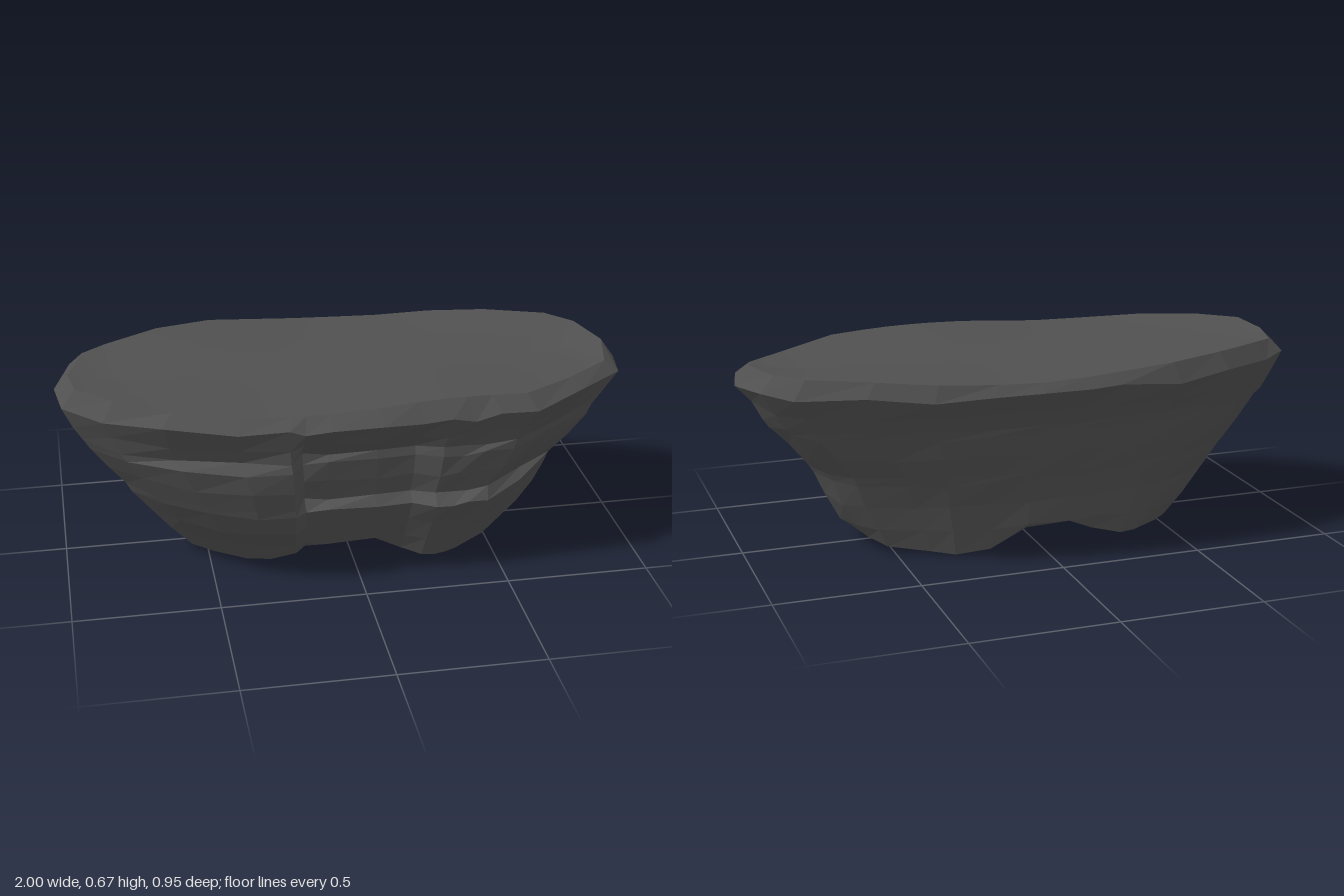
import * as THREE from 'three';

// Rim outline, clockwise from above: right end, back, left end, front
const RIM = [
  [-1, -0.04], [-0.94, -0.23], [-0.85, -0.29], [-0.65, -0.4], [-0.44, -0.465], [-0.22, -0.475],
  [-0.11, -0.479], [0.06, -0.48], [0.22, -0.465], [0.43, -0.445], [0.64, -0.385], [0.86, -0.29],
  [0.95, -0.19], [1, 0], [0.97, 0.15], [0.8, 0.29], [0.6, 0.43], [0.47, 0.44], [0.38, 0.447],
  [0.3, 0.452], [0.2, 0.46], [0.06, 0.474], [-0.11, 0.468], [-0.2, 0.46], [-0.25, 0.455],
  [-0.42, 0.44], [-0.66, 0.37], [-0.85, 0.25], [-0.98, 0.12],
];

// Side levels: height, x scale at the right and left ends, front and back z scale
const LEVELS = [
  [0.615, 1, 1, 1, 1],
  [0.54, 0.965, 0.945, 0.955, 0.9],
  [0.485, 0.935, 0.91, 0.95, 0.84],
  [0.455, 0.91, 0.89, 0.97, 0.82],
  [0.38, 0.853, 0.825, 0.955, 0.78],
  [0.305, 0.795, 0.755, 0.91, 0.73],
  [0.275, 0.775, 0.74, 0.9, 0.71],
  [0.19, 0.71, 0.705, 0.81, 0.66],
  [0.1, 0.64, 0.65, 0.71, 0.64],
  [0.01, 0.565, 0.61, 0.61, 0.61],
];

// Height of the underside along x: two feet with a channel between them
const FEET = [
  [-0.57, 0.02], [-0.42, 0.003], [-0.3, 0.02], [-0.2, 0.045], [-0.125, 0.09],
  [0.05, 0.09], [0.13, 0.03], [0.28, 0.003], [0.4, 0.018], [0.5, 0.02], [0.6, 0.06],
];

// Shared points along the middle of the underside
const STATIONS = [-0.5, -0.34, -0.19, -0.11, 0.06, 0.19, 0.34, 0.5];

function underside(x) {
  const { clamp, mapLinear } = THREE.MathUtils;
  const px = clamp(x, -0.57, 0.6);
  const k = FEET.findIndex(([fx], i) => i > 0 && px <= fx);
  const [a, b] = [FEET[k - 1], FEET[k]];
  return mapLinear(px, a[0], b[0], a[1], b[1]);
}

// Small repeatable unevenness
const wobble = (i, k) => Math.sin(i * 2.7 + k * 4.1) * 0.6 + Math.sin(i * 1.3 - k * 2.3) * 0.4;

// Carved recess and ledges on the front face, fading out below the rim
function carve(x, y) {
  const upper = y < 0.29 || y > 0.56 ? 0 : y > 0.5 ? 0.45 : 1;
  if (Math.abs(x) < 0.205) return y < 0.29 ? -0.045 : -0.085 * upper;
  if (x > 0) return y > 0.26 && y < 0.29 ? 0.01 : -0.04 * upper;
  if (y < 0.15) return -0.03;
  return x > -0.72 && x < -0.3 && y > 0.47 ? -0.035 * upper : 0;
}

function sideRing([y, right, left, front, back], k) {
  return RIM.map(([x, z], i) => {
    // Taper the ends strongly while the middle stays upright
    const sx = x < 0 ? right : left;
    const px = x * (1 - (1 - sx) * Math.min(1, Math.abs(x) / 0.6));
    let pz = z * (z > 0 ? front : back);
    let py = y + wobble(i, k) * (k === 0 ? 0.013 : 0.008);
    if (k > 0) pz *= 1 + wobble(i, k + 3) * 0.012;
    if (z > 0.2) pz += carve(x, y);
    if (k === LEVELS.length - 1) py = underside(px) + 0.003;
    return [px, py, pz];
  });
}

// Join neighbouring rings; the order of rings runs from top to bottom
function skin(rings, flat) {
  const n = RIM.length, positions = rings.flat(2), index = [];
  for (let r = 0; r < rings.length - 1; r++) {
    for (let i = 0; i < n; i++) {
      const j = (i + 1) % n;
      const a = r * n + i, b = r * n + j, c = b + n, d = a + n;
      index.push(a, b, c, a, c, d);
    }
  }
  let geometry = new THREE.BufferGeometry();
  geometry.setAttribute('position', new THREE.Float32BufferAttribute(positions, 3));
  geometry.setIndex(index);
  if (flat) geometry = geometry.toNonIndexed();
  geometry.computeVertexNormals();
  return geometry;
}

export function createModel() {
  const group = new THREE.Group();
  group.name = 'rockPlatform';
  const stone = new THREE.MeshStandardMaterial({ color: 0x505050 });
  stone.name = 'dark stone';
  const add = (name, rings, flat) => {
    const mesh = new THREE.Mesh(skin(rings, flat), stone);
    mesh.name = name;
    group.add(mesh);
  };

  // Bevelled, gently waving edge between the cliff and the flat top
  const edge = RIM.map(([x, z]) => (z > 0
    ? [x * 0.95, 0.663 + 0.012 * Math.cos((x - 0.3) * 5), z * 0.89]
    : [x * 0.95, 0.663 + 0.016 * Math.cos((x + 0.65) * 4.2), z * 0.94]));
  const cliff = LEVELS.map(sideRing);
  add('cliffSides', [edge, ...cliff], true);

  // Gently dished top, closing on a line along its length
  const dish = (s, y) => edge.map(([x, ey, z]) => [x * (0.8 + s * 0.2), y + (ey - 0.663) * s, z * s]);
  add('topSurface', [dish(0, 0.645), dish(0.5, 0.648), edge], false);

  // Underside, closing on a line through both feet
  const bottom = cliff[cliff.length - 1];
  const inset = bottom.map(([x, , z], i) => [x * 0.92, underside(x) + 0.004 + wobble(i, 5) * 0.006, z * 0.75]);
  const spine = bottom.map(([x]) => {
    const s = STATIONS.reduce((best, t) => (Math.abs(t - x) < Math.abs(best - x) ? t : best));
    return [s, underside(s) + 0.01, -0.01];
  });
  add('underside', [bottom, inset, spine], true);

  return group;
}
